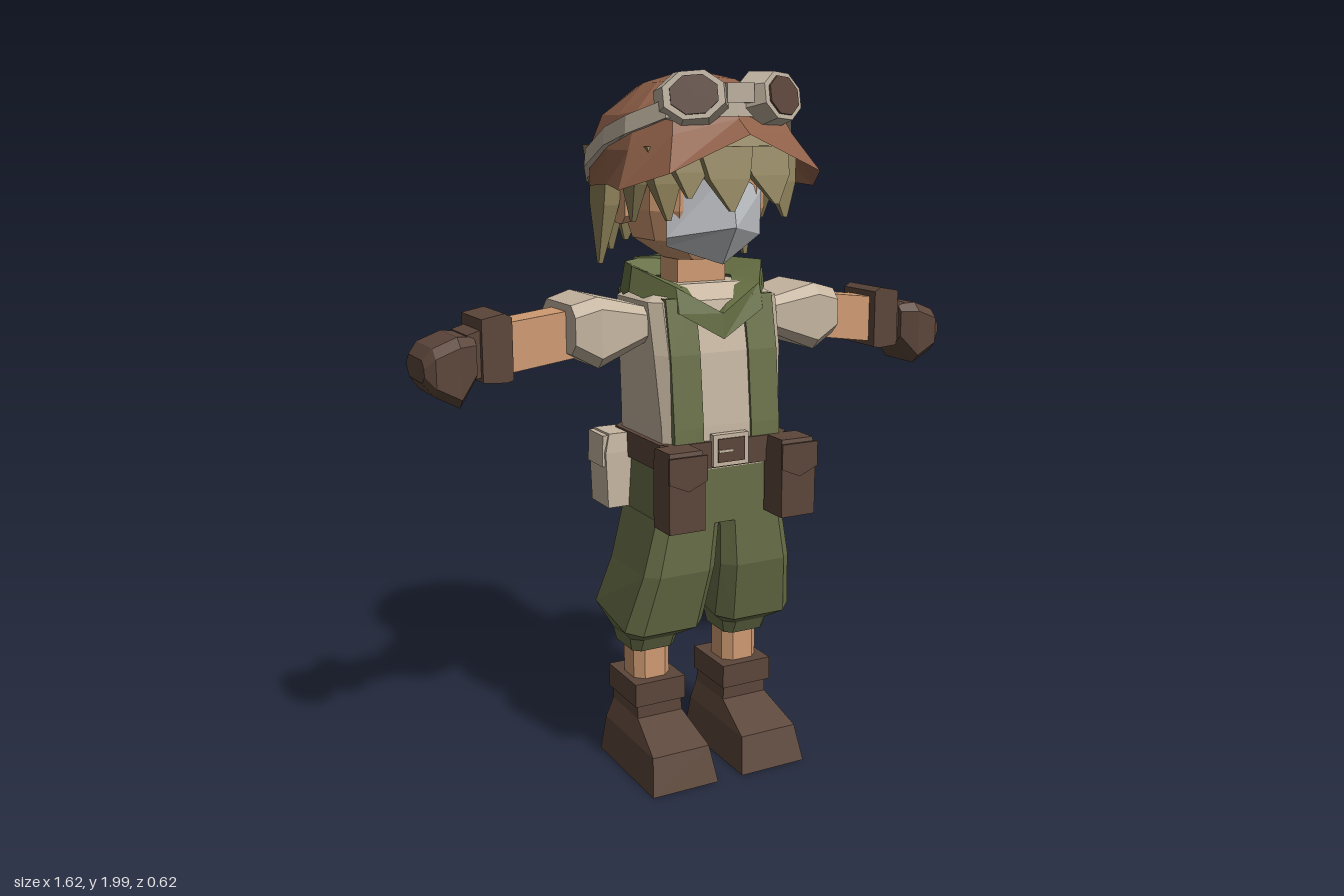
import * as THREE from 'three';

const mat = (name, color, side = THREE.FrontSide) => {
  const m = new THREE.MeshStandardMaterial({ color, side });
  m.name = name;
  return m;
};

// Rectangle with optional chamfered corners, as 2D points
const rect = (a0, a1, b0, b1, c = 0) => c
  ? [[a0 + c, b0], [a1 - c, b0], [a1, b0 + c], [a1, b1 - c], [a1 - c, b1], [a0 + c, b1], [a0, b1 - c], [a0, b0 + c]]
  : [[a0, b0], [a1, b0], [a1, b1], [a0, b1]];
// Horizontal ring (tilt raises it towards the back) and upright ring across x
const ringY = (y, x0, x1, z0, z1, c = 0, tilt = 0) => rect(x0, x1, z0, z1, c).map(([x, z]) => [x, y - z * tilt, z]);
const ringX = (x, y0, y1, z0, z1, c = 0) => rect(y0, y1, z0, z1, c).map(([y, z]) => [x, y, z]);
const flip = (rings, s) => rings.map(r => r.map(([x, y, z]) => [x * s, y, z]));
// Half outline (front centre to back centre) mirrored into a full ring
const sym = half => [...half, ...half.slice(1, -1).reverse().map(([x, y, z]) => [-x, y, z])];

// Faceted skin over rings; loop joins the last ring to the first
function loft(rings, { loop = false, bottom = true, top = true } = {}) {
  const tris = [], n = rings[0].length, last = rings.length - 1;
  for (let i = 0; i < rings.length - (loop ? 0 : 1); i++) {
    const a = rings[i], b = rings[(i + 1) % rings.length];
    for (let j = 0; j < n; j++) {
      const k = (j + 1) % n;
      tris.push([a[j], a[k], b[k]], [a[j], b[k], b[j]]);
    }
  }
  for (let j = 1; j < n - 1 && !loop; j++) {
    if (bottom) tris.push([rings[0][0], rings[0][j + 1], rings[0][j]]);
    if (top) tris.push([rings[last][0], rings[last][j], rings[last][j + 1]]);
  }
  // Turn the faces outward
  const all = rings.flat(), mid = [0, 1, 2].map(k => all.reduce((s, p) => s + p[k], 0) / all.length);
  const v = p => new THREE.Vector3(...p).sub(new THREE.Vector3(...mid));
  const vol = tris.reduce((s, [a, b, c]) => s + v(a).dot(v(b).cross(v(c))), 0);
  const pos = tris.flatMap(([a, b, c]) => (vol < 0 ? [a, c, b] : [a, b, c]).flat());
  const g = new THREE.BufferGeometry();
  g.setAttribute('position', new THREE.Float32BufferAttribute(pos, 3));
  g.computeVertexNormals();
  return g;
}

export function createModel() {
  const leather = mat('dark leather', 0x5c463a), cloth = mat('cream cloth', 0xc6b6a1);
  const green = mat('olive cloth', 0x6a7049), scarfGreen = mat('scarf green', 0x646d42);
  const skin = mat('skin', 0xd09b73), hair = mat('hair', 0x8c8058);
  const helmetBrown = mat('helmet brown', 0x8f6048, THREE.DoubleSide);
  const metal = mat('mask grey', 0xc2c5c9), strap = mat('goggle beige', 0xbdb09e);
  const model = new THREE.Group();
  const add = (name, geo, m) => {
    const mesh = new THREE.Mesh(geo, m);
    mesh.name = name;
    model.add(mesh);
    return mesh;
  };
  const box = (name, m, x0, x1, y0, y1, z0, z1) =>
    add(name, new THREE.BoxGeometry(x1 - x0, y1 - y0, z1 - z0), m)
      .position.set((x0 + x1) / 2, (y0 + y1) / 2, (z0 + z1) / 2);

  // Body
  add('shirt', loft([
    ringY(0.93, -0.185, 0.185, -0.12, 0.2, 0.03), ringY(1.05, -0.185, 0.185, -0.12, 0.195, 0.03),
    ringY(1.25, -0.197, 0.197, -0.105, 0.175, 0.03), ringY(1.39, -0.2, 0.2, -0.11, 0.145, 0.03),
    ringY(1.43, -0.13, 0.13, -0.1, 0.09, 0.03)]), cloth);
  add('hips', loft([
    ringY(0.77, -0.2, 0.2, -0.085, 0.19, 0.03), ringY(0.96, -0.187, 0.187, -0.105, 0.2, 0.03)]), green);
  add('belt', loft([
    ringY(0.935, -0.2, 0.2, -0.13, 0.21, 0.03), ringY(1.01, -0.2, 0.2, -0.13, 0.21, 0.03)]), leather);

  // Buckle: frame, dark inside and tongue
  box('buckleFrame', cloth, -0.055, 0.055, 0.94, 1.03, 0.2, 0.222);
  box('buckleInside', leather, -0.042, 0.042, 0.952, 1.018, 0.22, 0.226);
  box('buckleTongue', cloth, -0.042, 0.005, 0.98, 0.988, 0.224, 0.23);

  for (const s of [1, -1]) {
    const side = s > 0 ? 'left' : 'right';
    const part = (name, rings, m) => add(side + name, loft(flip(rings, s)), m);

    // Boot, shin and trouser leg
    part('Boot', [
      ringY(0, 0.04, 0.25, -0.13, 0.23), ringY(0.105, 0.055, 0.235, -0.12, 0.2),
      ringY(0.165, 0.07, 0.215, -0.11, 0.06), ringY(0.22, 0.075, 0.215, -0.105, 0.06)], leather);
    part('BootCuff', [ringY(0.205, 0.065, 0.225, -0.115, 0.07), ringY(0.275, 0.065, 0.225, -0.115, 0.07)], leather);
    part('Shin', [ringY(0.25, 0.09, 0.205, -0.075, 0.04, 0.025), ringY(0.42, 0.09, 0.205, -0.075, 0.04, 0.025)], skin);
    part('TrouserLeg', [
      ringY(0.37, 0.085, 0.22, -0.09, 0.055, 0.02), ringY(0.41, 0.075, 0.23, -0.1, 0.075, 0.03),
      ringY(0.47, 0.022, 0.27, -0.145, 0.135, 0.04, 0.17), ringY(0.63, 0.01, 0.235, -0.1, 0.183, 0.035),
      ringY(0.79, 0.001, 0.2, -0.086, 0.19, 0.03)], green);

    // Sleeve, forearm and glove
    part('Sleeve', [
      ringX(0.17, 1.29, 1.37, -0.1, 0.11, 0.02), ringX(0.34, 1.22, 1.412, -0.12, 0.13, 0.03),
      ringX(0.412, 1.26, 1.392, -0.11, 0.12, 0.03)], cloth);
    part('Forearm', [ringX(0.39, 1.245, 1.375, -0.045, 0.055), ringX(0.6, 1.215, 1.35, -0.04, 0.05)], skin);
    part('GloveCuff', [ringX(0.572, 1.205, 1.37, -0.08, 0.08), ringX(0.592, 1.2, 1.382, -0.08, 0.08),
      ringX(0.655, 1.205, 1.37, -0.08, 0.08)], leather);
    part('GloveWrist', [ringX(0.64, 1.22, 1.345, -0.065, 0.065), ringX(0.69, 1.21, 1.33, -0.065, 0.065)], leather);
    part('GloveHand', [
      ringX(0.67, 1.21, 1.325, -0.07, 0.08, 0.02), ringX(0.72, 1.145, 1.33, -0.085, 0.103, 0.025),
      ringX(0.785, 1.18, 1.305, -0.09, 0.1, 0.025), ringX(0.81, 1.215, 1.275, -0.075, 0.08, 0.02)], leather);

    // Suspender
    const bar = (y, z) => ringY(y, 0.075, 0.165, z - 0.02, z + 0.008);
    part('Suspender', [bar(0.99, 0.198), bar(1.05, 0.195), bar(1.25, 0.175), bar(1.4, 0.145)], green);

    // Front pouch with pointed flap, and side pouch
    part('FrontPouch', [ringY(0.79, 0.12, 0.228, 0.2, 0.295), ringY(0.97, 0.12, 0.228, 0.2, 0.295),
      ringY(1.01, 0.125, 0.223, 0.2, 0.285)], leather);
    const flap = z => [[0.117, 1.0, z], [0.231, 1.0, z], [0.231, 0.93, z], [0.174, 0.905, z], [0.117, 0.93, z]];
    part('PouchFlap', [flap(0.294), flap(0.302)], leather);
    part('SidePouch', [ringY(0.79, 0.18, 0.262, -0.135, -0.02), ringY(0.95, 0.18, 0.268, -0.135, -0.02),
      ringY(1.005, 0.18, 0.255, -0.13, -0.025)], cloth);
    part('SidePouchFlap', [ringY(0.91, 0.2, 0.275, -0.13, -0.03), ringY(1.0, 0.2, 0.272, -0.13, -0.03)], cloth);

    // Ear
    part('Ear', [ringX(0.16, 1.6, 1.69, -0.07, 0.0, 0.02), ringX(0.205, 1.59, 1.7, -0.09, -0.01, 0.02)], skin);

    // Goggle eyepiece: octagonal frame with a dark lens plate
    const eye = new THREE.Group();
    eye.name = side + 'Goggle';
    const rim = new THREE.Mesh(new THREE.CylinderGeometry(0.085, 0.105, 0.075, 8).toNonIndexed(), strap);
    const lens = new THREE.Mesh(new THREE.CylinderGeometry(0.066, 0.066, 0.008, 8).toNonIndexed(), leather);
    lens.position.y = 0.039;
    for (const m of [rim, lens]) {
      m.geometry.rotateY(Math.PI / 8);
      m.geometry.computeVertexNormals();
      eye.add(m);
    }
    rim.name = 'goggleFrame';
    lens.name = 'goggleLens';
    rim.geometry.scale(1, 1, 0.77);
    lens.geometry.scale(1, 1, 0.8);
    eye.rotation.set(Math.PI / 2 - 0.2, 0, -s * 0.4, 'YXZ');
    eye.position.set(s * 0.118, 1.922, 0.218);
    model.add(eye);
  }
  box('goggleBridge', strap, -0.04, 0.04, 1.91, 1.96, 0.19, 0.26);

  // Neck scarf with a cape down the back
  add('scarf', loft([
    sym([[0, 1.285, 0.18], [0.13, 1.36, 0.165], [0.215, 1.41, 0.03], [0.18, 1.38, -0.11], [0, 1.36, -0.135]]),
    sym([[0, 1.355, 0.175], [0.13, 1.43, 0.145], [0.205, 1.48, 0.03], [0.165, 1.48, -0.1], [0, 1.5, -0.135]]),
    sym([[0, 1.36, 0.12], [0.07, 1.42, 0.1], [0.11, 1.44, 0.02], [0.09, 1.44, -0.06], [0, 1.44, -0.08]]),
  ], { loop: true }), scarfGreen);
  const cape = d => [[-0.12, 1.49, -0.11 - d], [0.12, 1.49, -0.11 - d], [0.17, 1.4, -0.115 - d],
    [0.15, 1.17, -0.135 - d], [0.0, 1.0, -0.15 - d], [-0.15, 1.17, -0.135 - d], [-0.17, 1.4, -0.115 - d]];
  add('scarfCape', loft([cape(0), cape(0.018)]), scarfGreen);

  // Neck, head and mask
  box('neck', skin, -0.075, 0.075, 1.36, 1.54, -0.055, 0.05);
  add('head', loft([
    ringY(1.495, -0.08, 0.08, -0.06, 0.09, 0.03), ringY(1.55, -0.155, 0.155, -0.12, 0.12, 0.05),
    ringY(1.63, -0.178, 0.178, -0.14, 0.145, 0.06), ringY(1.84, -0.175, 0.175, -0.15, 0.15, 0.06)]), skin);
  add('mask', loft([
    sym([[0, 1.487, 0.17], [0.13, 1.535, 0.09], [0, 1.54, 0.03]]),
    sym([[0, 1.59, 0.243], [0.145, 1.56, 0.12], [0, 1.6, 0.03]]),
    sym([[0, 1.74, 0.21], [0.145, 1.68, 0.125], [0, 1.7, 0.03]])]), metal);

  // Hair: a cap under the helmet and pointed locks [x, z, halfWidth, halfDepth, tipX, tipY, tipZ]
  add('hairCap', loft([
    ringY(1.68, -0.2, 0.2, -0.23, -0.02, 0.05), ringY(1.78, -0.22, 0.22, -0.24, 0.2, 0.06),
    ringY(1.86, -0.18, 0.18, -0.2, 0.17, 0.06)]), hair);
  add('hairBack', loft([
    ringY(1.57, -0.12, 0.13, -0.17, -0.1, 0.02), ringY(1.72, -0.17, 0.17, -0.2, -0.08, 0.03)]), hair);
  const locks = [
    [-0.03, 0.22, 0.08, 0.02, -0.03, 1.635, 0.27], [0.09, 0.21, 0.075, 0.02, 0.11, 1.65, 0.26],
    [-0.12, 0.2, 0.06, 0.02, -0.14, 1.67, 0.24], [0.17, 0.15, 0.05, 0.03, 0.18, 1.61, 0.19],
    [-0.18, 0.15, 0.05, 0.03, -0.17, 1.61, 0.18], [0.2, 0.05, 0.025, 0.05, 0.2, 1.6, 0.03],
    [-0.2, 0.05, 0.025, 0.05, -0.2, 1.6, 0.03], [0.2, -0.12, 0.03, 0.06, 0.195, 1.49, -0.05],
    [-0.21, -0.1, 0.03, 0.06, -0.25, 1.48, -0.08], [0.21, -0.15, 0.04, 0.06, 0.24, 1.57, -0.17],
    [-0.19, -0.16, 0.05, 0.05, -0.18, 1.51, -0.16], [0.13, -0.19, 0.07, 0.03, 0.15, 1.48, -0.23],
    [-0.1, -0.19, 0.07, 0.03, -0.11, 1.53, -0.21], [0.02, -0.2, 0.07, 0.03, 0.03, 1.54, -0.2]];
  for (const [x, z, w, d, tx, ty, tz] of locks) {
    const mx = x * 0.5 + tx * 0.5, mz = z * 0.5 + tz * 0.5, my = (1.8 + ty) / 2;
    add('hairLock', loft([
      ringY(1.8, x - w, x + w, z - d, z + d), ringY(my, mx - w * 0.75, mx + w * 0.75, mz - d * 0.8, mz + d * 0.8),
      ringY(ty, tx - 0.006, tx + 0.006, tz - 0.006, tz + 0.006)]), hair);
  }

  // Helmet: flared brim, crown and rounded top
  add('helmet', loft([
    sym([[0, 1.83, 0.31], [0.225, 1.735, 0.295], [0.298, 1.69, 0.15], [0.272, 1.7, 0.02],
      [0.255, 1.69, -0.13], [0.19, 1.67, -0.235], [0.1, 1.67, -0.285], [0, 1.67, -0.285]]),
    sym([[0, 1.87, 0.25], [0.18, 1.83, 0.225], [0.255, 1.79, 0.12], [0.258, 1.79, 0],
      [0.255, 1.79, -0.13], [0.205, 1.79, -0.24], [0.115, 1.8, -0.31], [0, 1.8, -0.312]]),
    sym([[0, 1.94, 0.2], [0.15, 1.92, 0.17], [0.215, 1.89, 0.09], [0.225, 1.88, 0],
      [0.215, 1.88, -0.13], [0.17, 1.88, -0.21], [0.095, 1.89, -0.26], [0, 1.89, -0.265]]),
    sym([[0, 1.98, 0.1], [0.08, 1.975, 0.09], [0.13, 1.965, 0.04], [0.14, 1.965, -0.02],
      [0.125, 1.955, -0.1], [0.1, 1.95, -0.15], [0.06, 1.95, -0.18], [0, 1.95, -0.185]]),
    sym([[0, 1.99, 0.03], [0.03, 1.992, 0.02], [0.045, 1.992, 0.01], [0.045, 1.992, -0.02],
      [0.04, 1.99, -0.04], [0.03, 1.988, -0.05], [0.02, 1.985, -0.06], [0, 1.985, -0.06]]),
  ], { bottom: false }), helmetBrown);

  // Goggle band, sloping down to the back
  const path = sym([[0, 1.9, 0.25], [0.19, 1.895, 0.205], [0.255, 1.855, 0.1], [0.272, 1.825, 0],
    [0.272, 1.765, -0.13], [0.215, 1.72, -0.245], [0.11, 1.7, -0.303], [0, 1.7, -0.306]]);
  const row = (k, dy) => path.map(([x, y, z]) => [x * k, y + dy, z * k]);
  add('goggleBand', loft([row(0.9, -0.024), row(1, -0.024), row(0.985, 0.024), row(0.9, 0.024)], { loop: true }), strap);

  return model;
}
